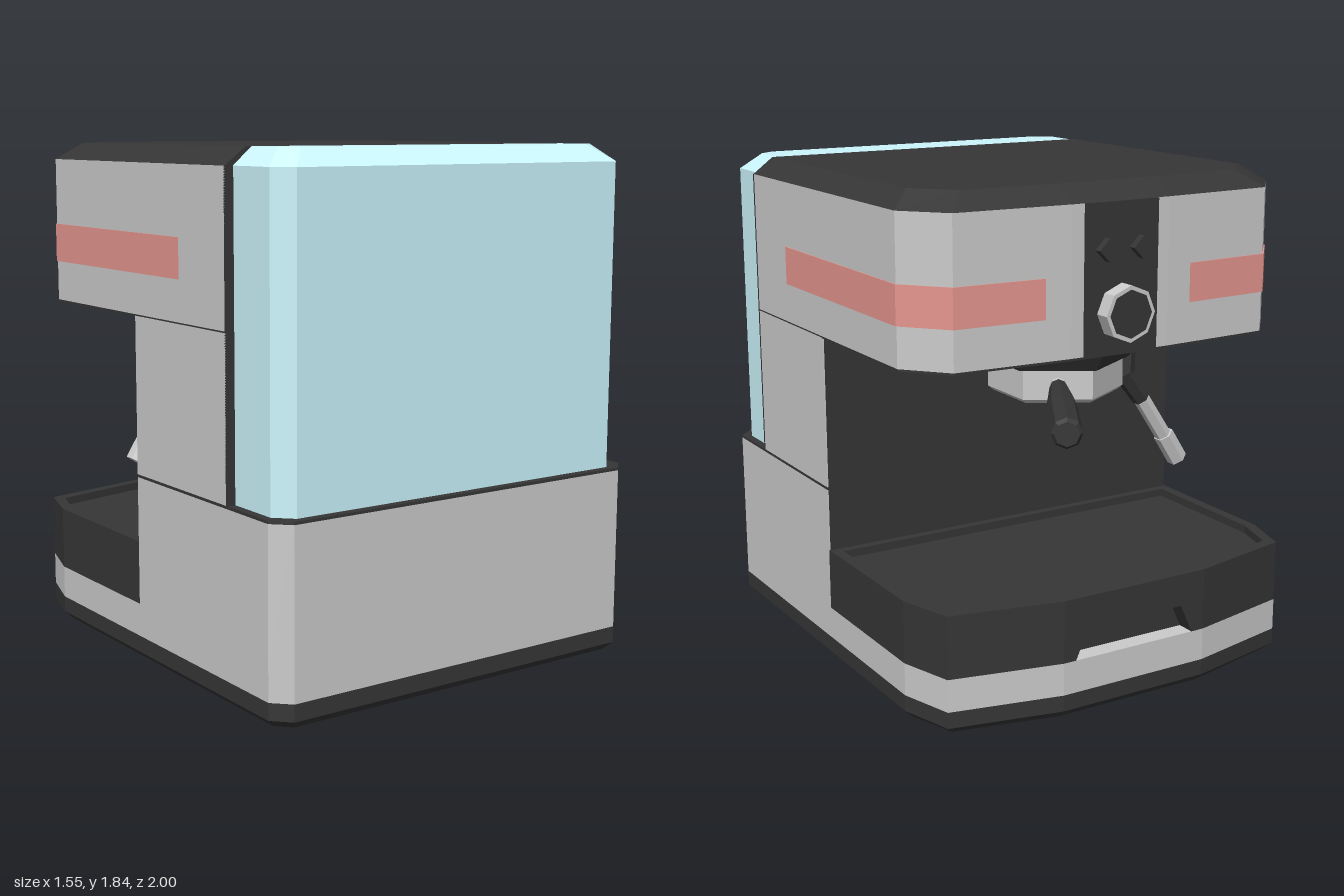
import * as THREE from 'three';

const mat = (color) => new THREE.MeshStandardMaterial({ color, flatShading: true });

// Full outline [x, z] from its +x half, listed from back (+z) to front (-z)
const mirror = (half) => [...half, ...half.map(([x, z]) => [-x, z]).reverse()];

// Solid through a stack of outlines, each [outline, y], capped at both ends
function stack(...rings) {
  const pos = [];
  const put = (r, i) => {
    const [pts, y] = rings[r];
    const [x, z] = pts[i % pts.length];
    pos.push(x, y, z);
  };
  const n = rings[0][0].length;
  for (let r = 0; r < rings.length - 1; r++)
    for (let i = 0; i < n; i++) {
      put(r, i); put(r, i + 1); put(r + 1, i + 1);
      put(r, i); put(r + 1, i + 1); put(r + 1, i);
    }
  const cap = (r, flip) => {
    const contour = rings[r][0].map(([x, z]) => new THREE.Vector2(x, -z));
    for (const [a, b, c] of THREE.ShapeUtils.triangulateShape(contour, []))
      (flip ? [c, b, a] : [a, b, c]).forEach((i) => put(r, i));
  };
  cap(0, true);
  cap(rings.length - 1, false);
  const g = new THREE.BufferGeometry();
  g.setAttribute('position', new THREE.Float32BufferAttribute(pos, 3));
  g.computeVertexNormals();
  return g;
}

export function createModel() {
  const model = new THREE.Group();
  model.name = 'espressoMachine';
  const grey = mat(0xcccccc), dark = mat(0x363636), blue = mat(0xccf6fe), red = mat(0xe6968f);

  const add = (name, geometry, material, x = 0, y = 0, z = 0, parent = model) => {
    const m = new THREE.Mesh(geometry, material);
    m.name = name;
    m.position.set(x, y, z);
    parent.add(m);
    return m;
  };
  const box = (w, h, d) => new THREE.BoxGeometry(w, h, d);

  // Base with a chamfered foot and a grey band
  const foot = mirror([[0.71, 1], [0.77, 0.94], [0.77, -0.49], [0.71, -0.69], [0.3, -0.78]]);
  const footIn = mirror([[0.69, 0.97], [0.74, 0.92], [0.74, -0.48], [0.68, -0.66], [0.3, -0.75]]);
  add('base', stack([footIn, 0], [foot, 0.03], [foot, 0.09]), dark);
  add('baseBand', stack([foot, 0.09], [foot, 0.21]), grey);

  // Rear housing, ledge under the tank, and column
  const rear = mirror([[0.71, 1], [0.77, 0.94], [0.77, 0.11]]);
  add('rearHousing', stack([rear, 0.21], [rear, 0.675]), grey);
  add('tankLedge', stack([rear, 0.675], [rear, 0.685]), dark);
  const column = mirror([[0.77, 0.7], [0.77, 0.11]]);
  add('column', stack([column, 0.685], [column, 1.25]), grey);
  add('columnFrontPanel', box(1.53, 1.03, 0.01), dark, 0, 0.735, 0.108);
  add('tankBackPanel', box(1.54, 1.1, 0.01), dark, 0, 1.23, 0.7);

  // Head with chamfered lid and dark underside
  const head = mirror([[0.77, 0.7], [0.77, -0.48], [0.64, -0.63], [0.2, -0.655]]);
  const lid = mirror([[0.69, 0.7], [0.69, -0.41], [0.56, -0.55], [0.2, -0.57]]);
  add('head', stack([head, 1.255], [head, 1.78]), grey);
  add('headUnderside', stack([head, 1.247], [head, 1.255]), dark);
  add('lid', stack([head, 1.78], [lid, 1.84]), dark);

  // Water tank
  const tank = mirror([[0.68, 0.97], [0.74, 0.91], [0.74, 0.703]]);
  const tankTop = mirror([[0.61, 0.89], [0.67, 0.85], [0.67, 0.703]]);
  add('waterTank', stack([tank, 0.685], [tank, 1.78], [tankTop, 1.84]), blue);

  // Stripes wrapping each head corner
  const stripe = [[0.774, 0.41], [0.774, -0.482], [0.643, -0.634], [0.3, -0.654],
    [0.3, -0.62], [0.6, -0.6], [0.74, -0.46], [0.74, 0.41]];
  const stripeMirrored = stripe.map(([x, z]) => [-x, z]).reverse();
  add('leftStripe', stack([stripe, 1.4], [stripe, 1.54]), red);
  add('rightStripe', stack([stripeMirrored, 1.4], [stripeMirrored, 1.54]), red);

  // Control panel, buttons and knob
  add('controlPanel', box(0.3, 0.53, 0.05), dark, 0, 1.515, -0.637);
  for (const s of [-1, 1])
    add('button', new THREE.CylinderGeometry(0.04, 0.04, 0.04, 4), dark, s * 0.07, 1.62, -0.67)
      .rotation.x = Math.PI / 2;
  add('knob', new THREE.CylinderGeometry(0.1, 0.1, 0.06, 8), grey, 0, 1.4, -0.69)
    .rotation.x = Math.PI / 2;
  add('knobFace', new THREE.CylinderGeometry(0.085, 0.085, 0.01, 8), dark, 0, 1.4, -0.718)
    .rotation.x = Math.PI / 2;

  // Drip tray: recessed top, and a grip cut into the flat front
  const trayBody = mirror([[0.77, 0.11], [0.77, -0.49], [0.71, -0.69], [0.3, -0.78], [0.3, -0.71]]);
  const tray = mirror([[0.77, 0.11], [0.77, -0.49], [0.71, -0.69], [0.3, -0.78]]);
  const trayIn = mirror([[0.73, 0.07], [0.73, -0.48], [0.68, -0.65], [0.3, -0.74]]);
  add('dripTray', stack([trayBody, 0.21], [trayBody, 0.4]), dark);
  add('dripTrayRim', stack([tray, 0.4], [tray, 0.44], [trayIn, 0.44], [trayIn, 0.41]), dark);
  const grip = new THREE.Shape([[-0.3, 0.21], [-0.25, 0.21], [-0.2, 0.32], [0.2, 0.32],
    [0.25, 0.21], [0.3, 0.21], [0.3, 0.4], [-0.3, 0.4]].map(([x, y]) => new THREE.Vector2(x, y)));
  add('dripTrayGrip', new THREE.ExtrudeGeometry(grip, { depth: 0.07, bevelEnabled: false }),
    dark, 0, 0, -0.78);

  // Hexagonal brew group and filter holder with its angled handle
  const brew = new THREE.Group();
  brew.name = 'brewGroup';
  brew.position.z = -0.245;
  model.add(brew);
  const hex = (name, top, bottom, y0, y1, material) =>
    add(name, new THREE.CylinderGeometry(top, bottom, y1 - y0, 6), material, 0, (y0 + y1) / 2, 0, brew);
  hex('groupCollar', 0.315, 0.315, 1.225, 1.25, dark);
  hex('groupTaper', 0.315, 0.27, 1.16, 1.225, dark);
  hex('filterHolder', 0.248, 0.248, 1.05, 1.16, grey);
  hex('filterHolderBottom', 0.248, 0.23, 1.035, 1.05, grey);

  const handle = new THREE.Group();
  handle.name = 'handle';
  handle.position.y = 1.1;
  handle.rotation.y = -Math.PI / 6;
  brew.add(handle);
  const bar = (name, r0, r1, d0, d1, material) =>
    add(name, new THREE.CylinderGeometry(r0, r1, d1 - d0, 8), material, 0, 0, -(d0 + d1) / 2, handle)
      .rotation.x = Math.PI / 2;
  // top radius of each bar lies nearer the filter holder
  bar('handleCollar', 0.032, 0.032, 0.2, 0.26, grey);
  bar('handleGrip', 0.032, 0.053, 0.24, 0.5, dark);
  bar('handleEnd', 0.053, 0.053, 0.5, 0.83, dark);
  bar('handleCap', 0.053, 0.042, 0.83, 0.845, dark);

  // Steam wand leaning out to the side
  const wand = (name, a, b, r0, r1, material) => {
    const from = new THREE.Vector3(...a), to = new THREE.Vector3(...b);
    const dir = to.clone().sub(from);
    const mid = from.clone().add(to).multiplyScalar(0.5);
    add(name, new THREE.CylinderGeometry(r1, r0, dir.length(), 6), material, mid.x, mid.y, mid.z)
      .quaternion.setFromUnitVectors(new THREE.Vector3(0, 1, 0), dir.normalize());
  };
  const z = -0.19;
  wand('wandMount', [-0.35, 1.25, z], [-0.35, 1.03, z], 0.04, 0.04, dark);
  wand('wandSleeve', [-0.34, 1.05, z], [-0.43, 0.93, z], 0.042, 0.036, dark);
  wand('wandPipe', [-0.42, 0.945, z], [-0.55, 0.75, z], 0.032, 0.032, grey);
  wand('wandTip', [-0.54, 0.77, z], [-0.61, 0.66, z], 0.04, 0.04, grey);

  return model;
}
